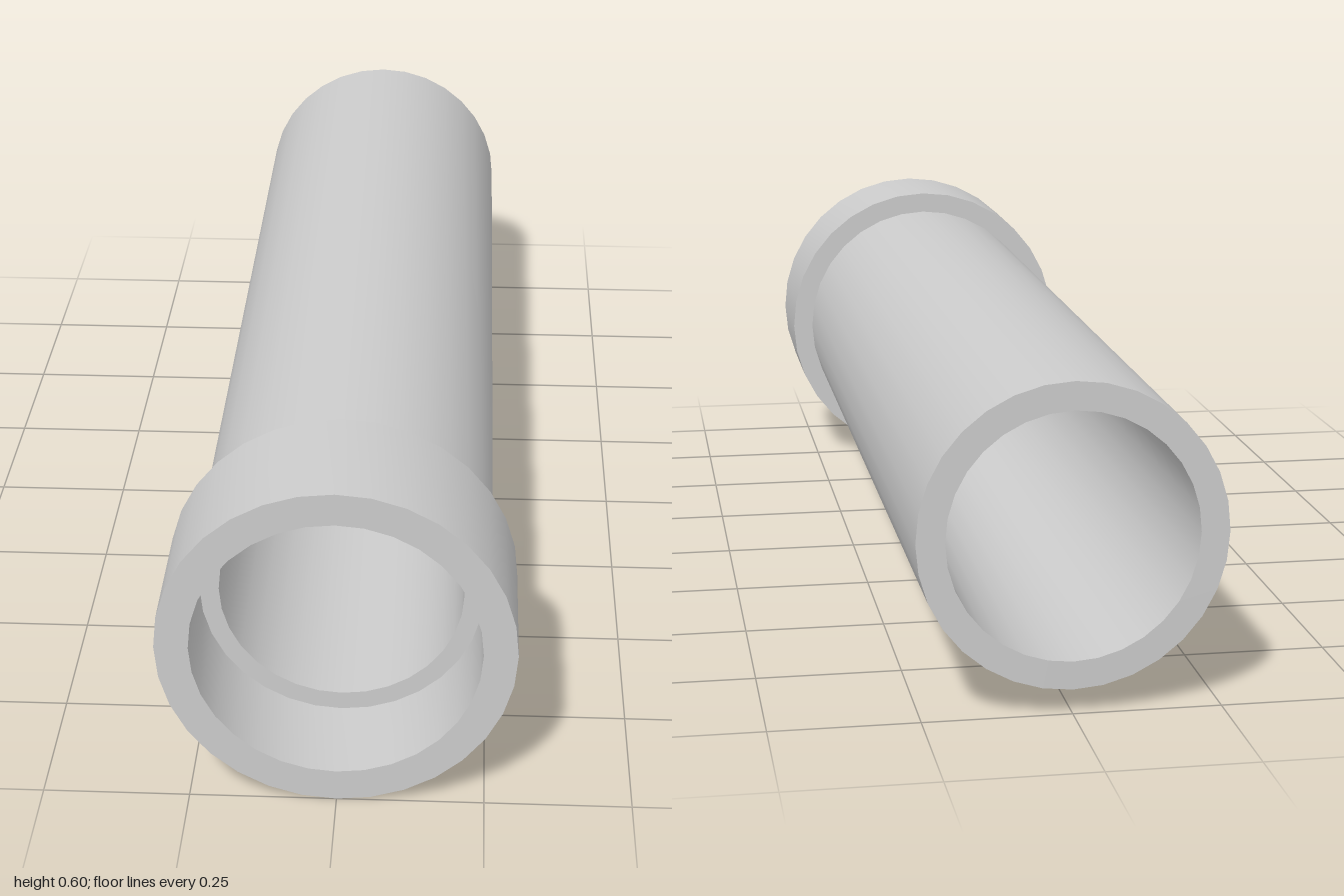
import * as THREE from 'three';
import { toCreasedNormals } from 'three/addons/utils/BufferGeometryUtils.js';

export function createModel() {
  const group = new THREE.Group();
  group.name = 'socketPipe';

  const collarR = 0.3, pipeR = 0.258, boreR = 0.21, socketR = 0.243;
  const collarBack = 0.755, socketFloor = 0.82;

  // Closed wall section (radius, distance along the pipe): outside forward, inside back
  const profile = [
    [boreR, -1], [pipeR, -1],
    [pipeR, collarBack], [collarR, collarBack],
    [collarR, 1], [socketR, 1],
    [socketR, socketFloor], [boreR, socketFloor],
    [boreR, -1],
  ].map(([r, z]) => new THREE.Vector2(r, z));

  // Pipe with a wider collar and a stepped socket at the front
  const geometry = toCreasedNormals(new THREE.LatheGeometry(profile, 32), Math.PI / 6);
  geometry.rotateX(Math.PI / 2);

  const pipe = new THREE.Mesh(geometry, new THREE.MeshStandardMaterial({ color: 0xcccccc }));
  pipe.name = 'pipeWithCollar';
  pipe.position.y = collarR;
  group.add(pipe);
  return group;
}
